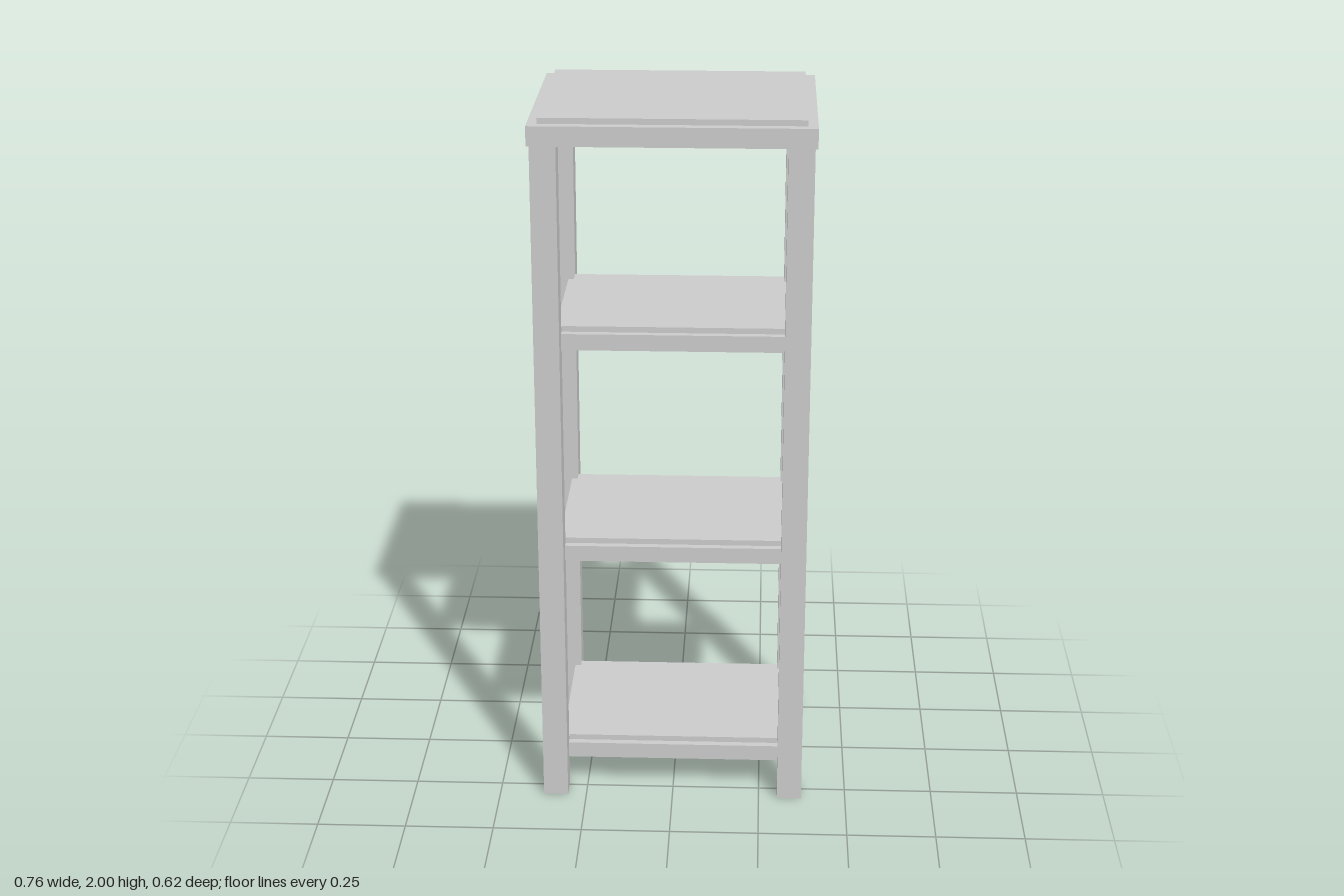
import * as THREE from 'three';

const grey = new THREE.MeshStandardMaterial({ color: 0xcccccc, flatShading: true });
const greyOpen = new THREE.MeshStandardMaterial({ color: 0xcccccc, flatShading: true, side: THREE.DoubleSide });

// Box centred on x and z, spanning y0 to y1
function slab(name, width, depth, y0, y1) {
  const mesh = new THREE.Mesh(new THREE.BoxGeometry(width, y1 - y0, depth), grey);
  mesh.position.y = (y0 + y1) / 2;
  mesh.name = name;
  return mesh;
}

// Board with a slightly smaller raised panel on it
function board(name, width, depth, inset, y0, y1, y2) {
  const group = new THREE.Group();
  group.name = name;
  group.add(
    slab(name + 'Board', width, depth, y0, y1),
    slab(name + 'Panel', width - 2 * inset, depth - 2 * inset, y1, y2)
  );
  return group;
}

export function createModel() {
  const model = new THREE.Group();
  model.name = 'shelfUnit';

  // Four square hollow legs, open at the foot
  const legSize = 0.07, legHeight = 1.93;
  const legGeometry = new THREE.CylinderGeometry(legSize / Math.SQRT2, legSize / Math.SQRT2, legHeight, 4, 1, true);
  legGeometry.rotateY(Math.PI / 4);
  for (const [x, side] of [[0.338, 'Left'], [-0.338, 'Right']]) {
    for (const [z, end] of [[0.27, 'front'], [-0.27, 'back']]) {
      const leg = new THREE.Mesh(legGeometry, greyOpen);
      leg.position.set(x, legHeight / 2, z);
      leg.name = end + side + 'Leg';
      model.add(leg);
    }
  }

  // Three shelves let into the legs
  [['lowerShelf', 0.095], ['middleShelf', 0.722], ['upperShelf', 1.35]].forEach(([name, y]) => {
    model.add(board(name, 0.645, 0.505, 0.02, y, y + 0.046, y + 0.062));
  });

  // Overhanging top
  model.add(board('top', 0.76, 0.622, 0.027, 1.93, 1.984, 2));
  return model;
}
